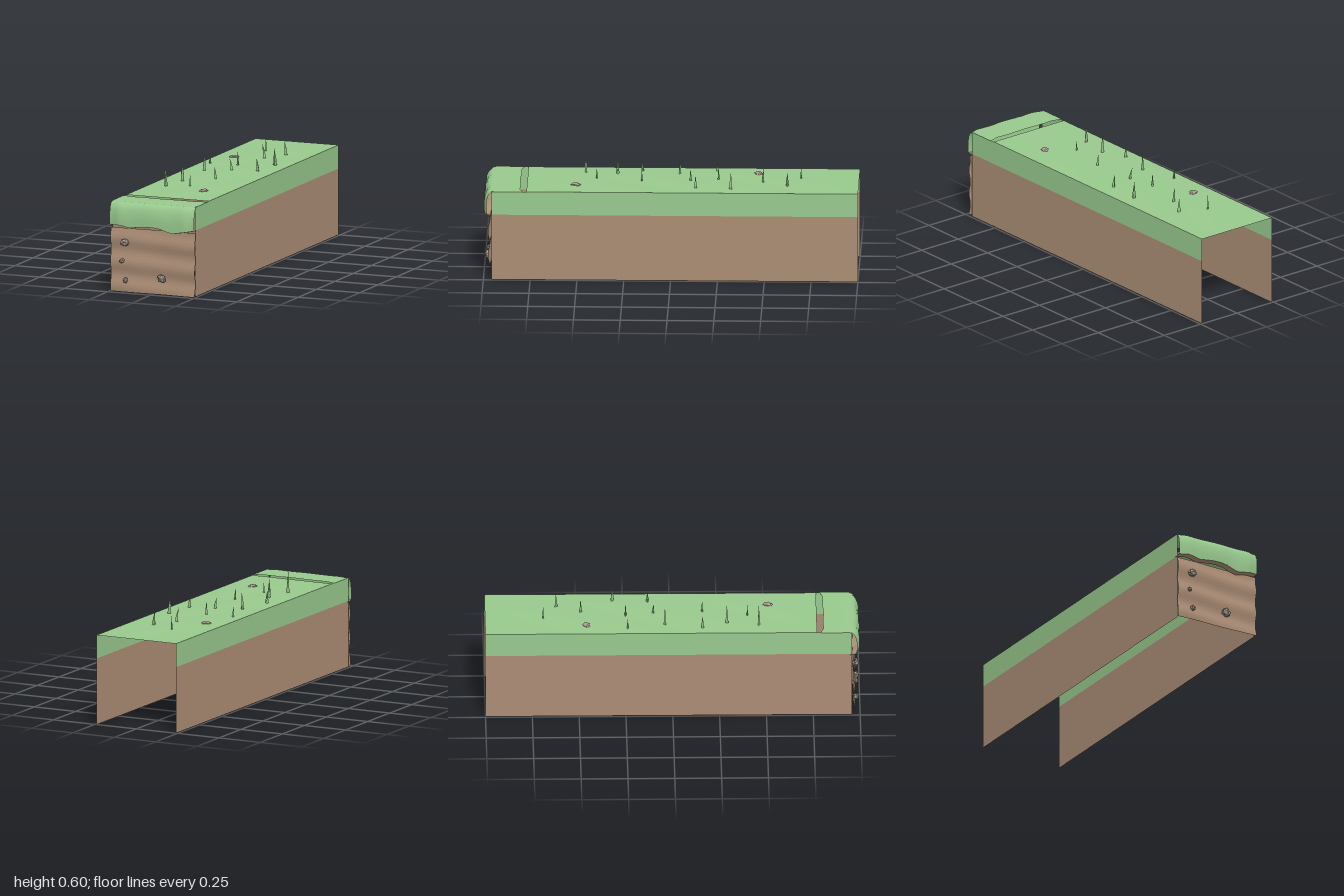
import * as THREE from 'three';

const material = (name, color) => {
  const m = new THREE.MeshStandardMaterial({ color, side: THREE.DoubleSide });
  m.name = name;
  return m;
};

// Sheet whose points come from f(u, v): u runs along +x, v from the far/top edge to the near/bottom edge
function sheet(nu, nv, f) {
  const geo = new THREE.PlaneGeometry(1, 1, nu, nv);
  const pos = geo.attributes.position;
  for (let i = 0; i < pos.count; i++) {
    pos.setXYZ(i, ...f(pos.getX(i) + 0.5, 0.5 - pos.getY(i)));
  }
  geo.computeVertexNormals();
  return geo;
}

// Linear lookup in a list of [key, value...] rows
function sample(rows, k, col = 1) {
  let i = 0;
  while (i < rows.length - 2 && k > rows[i + 1][0]) i++;
  const a = rows[i], b = rows[i + 1];
  return a[col] + (b[col] - a[col]) * (k - a[0]) / (b[0] - a[0]);
}

export function createModel() {
  const group = new THREE.Group();
  const grass = material('grass green', 0x98c98d);
  const dirt = material('dirt brown', 0xab8d75);
  const stone = material('stone grey', 0xa09888);
  const pebble = material('pebble pinkish grey', 0xab9a8e);
  stone.flatShading = pebble.flatShading = true;

  const add = (name, geo, mat) => {
    const mesh = new THREE.Mesh(geo, mat);
    mesh.name = name;
    group.add(mesh);
    return mesh;
  };

  const HALF = 0.24, TOP = 0.488, BAND = 0.36;

  // Side walls: dirt below, grass band above; back and underside stay open
  for (const [side, s] of [['left', 1], ['right', -1]]) {
    const wall = (name, y0, y1, mat) => {
      const geo = new THREE.PlaneGeometry(1.957, y1 - y0);
      const mesh = add(side + name, geo, mat);
      mesh.rotation.y = s * Math.PI / 2;
      mesh.position.set(s * HALF, (y0 + y1) / 2, -0.0215);
    };
    wall('DirtWall', 0, BAND, dirt);
    wall('GrassWall', BAND, TOP, grass);
  }

  // Slightly uneven lawn
  add('lawn', sheet(8, 24, (u, v) => {
    const bump = Math.sin(Math.PI * u) * Math.sin(Math.PI * v);
    return [(u * 2 - 1) * HALF, TOP + 0.003 * bump * (1 + Math.sin(9 * u + 17 * v)) / 2, -1 + 1.77 * v];
  }), grass);

  // Rolled grass lip over the front, with a wavy lower edge
  const hem = [[-0.245, 0.361], [-0.2, 0.366], [-0.16, 0.361], [-0.122, 0.353], [-0.08, 0.36], [-0.03, 0.365],
    [0.01, 0.365], [0.05, 0.36], [0.09, 0.346], [0.122, 0.339], [0.18, 0.35], [0.245, 0.361]];
  // rows: step, z, height fraction between hem and top
  const roll = [[0, 0.805, 1], [1, 0.88, 1], [2, 0.958, 1], [3, 0.972, 0.97], [4, 0.984, 0.88],
    [5, 0.993, 0.72], [6, 0.997, 0.5], [7, 0.998, 0.25], [8, 0.995, 0]];
  const ends = x => -0.016 * THREE.MathUtils.smoothstep(Math.abs(x), 0.18, 0.245) + 0.002 * Math.cos(x * 28);
  const lipX = u => (u * 2 - 1) * 0.245;
  add('grassLip', sheet(32, 8, (u, v) => {
    const x = lipX(u), y = sample(hem, x);
    return [x, y + (TOP - y) * sample(roll, v * 8, 2), sample(roll, v * 8) + ends(x)];
  }), grass);

  // Dirt underside of the lip
  add('lipUnderside', sheet(32, 1, (u, v) => {
    const x = lipX(u);
    return [x, sample(hem, x) - 0.005 * v, 0.995 - 0.035 * v + ends(x)];
  }), dirt);

  // Rippled dirt face at the front
  add('dirtFace', sheet(12, 20, (u, v) => {
    const y = 0.347 * (1 - v);
    return [lipX(u), y, 0.967 + 0.006 * Math.sin(y * 48 + u * 1.5) + 0.003 * Math.sin(u * 8)];
  }), dirt);

  // Stones set in the dirt face: x, y, radius, turn
  [[-0.16, 0.27, 0.026, 0.2], [-0.176, 0.17, 0.016, 0.9], [-0.156, 0.065, 0.018, 1.7], [0.054, 0.089, 0.027, 2.6]]
    .forEach(([x, y, r, turn], i) => {
      const mesh = add('faceStone' + (i + 1), new THREE.IcosahedronGeometry(r, 0), stone);
      mesh.position.set(x, y, 0.977);
      mesh.scale.set(1.08, 0.88, 0.75);
      mesh.rotation.set(0.4, turn, 0.2 * i);
    });

  // Flat pebbles on the lawn
  [[-0.135, -0.46, 0.4], [0.1, 0.51, 1.2]].forEach(([x, z, turn], i) => {
    const mesh = add('lawnPebble' + (i + 1), new THREE.IcosahedronGeometry(0.03, 0), pebble);
    mesh.position.set(x, TOP + 0.001, z);
    mesh.scale.set(1, 0.42, 0.8);
    mesh.rotation.y = turn;
  });

  // Three-sided grass blades: x, z, height, radius, lean along x
  const blades = [
    [-0.142, 0.46, 0.112, 0.01, 0], [-0.028, 0.4, 0.06, 0.006, 0.004], [-0.118, 0.29, 0.103, 0.011, 0],
    [-0.173, 0.16, 0.068, 0.01, -0.002], [0.02, 0.16, 0.066, 0.007, -0.006], [-0.13, -0.04, 0.1, 0.009, 0.006],
    [0.005, -0.1, 0.062, 0.009, -0.014], [0.143, -0.13, 0.067, 0.01, -0.007], [-0.18, -0.24, 0.057, 0.007, -0.006],
    [-0.025, -0.25, 0.073, 0.007, 0], [0.16, -0.32, 0.092, 0.012, -0.004], [0.025, -0.49, 0.078, 0.01, -0.011],
    [0.094, -0.62, 0.073, 0.011, -0.004], [-0.05, -0.69, 0.079, 0.005, 0.001]];
  blades.forEach(([x, z, h, r, lean], i) => {
    const geo = new THREE.CylinderGeometry(0.0003, r, h, 3, 3, true);
    geo.translate(0, h / 2, 0).rotateY(i * 1.9);
    const pos = geo.attributes.position;
    for (let k = 0; k < pos.count; k++) {
      const t = pos.getY(k) / h, swell = 1 + 0.9 * t * (1 - t);
      pos.setXYZ(k, pos.getX(k) * swell + lean * t * t, pos.getY(k), pos.getZ(k) * swell * 0.8);
    }
    geo.computeVertexNormals();
    add('grassBlade' + (i + 1), geo, grass).position.set(x, TOP, z);
  });

  return group;
}
